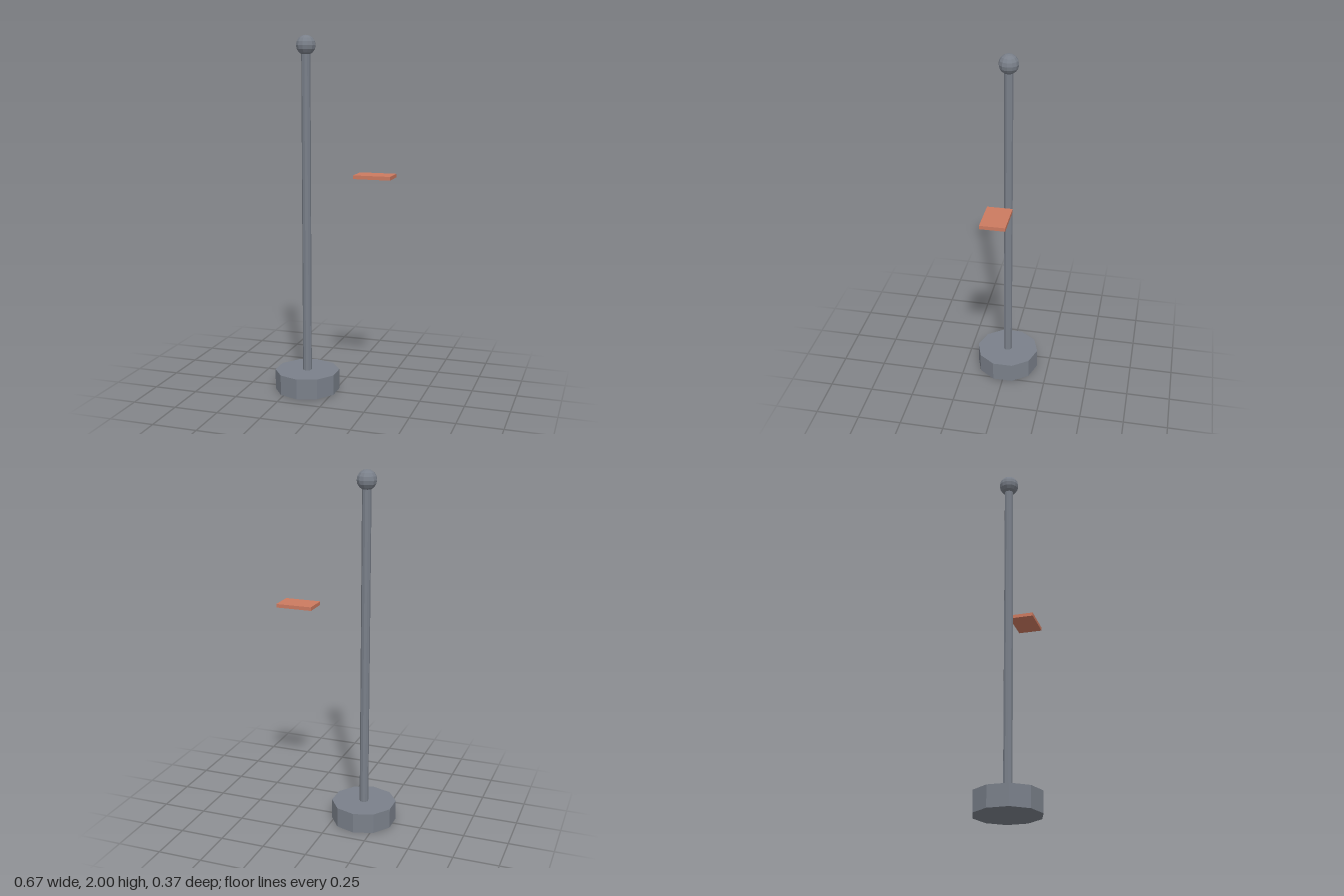
import * as THREE from 'three';

const POST_X = -0.16;

export function createModel() {
  const model = new THREE.Group();
  const metal = new THREE.MeshStandardMaterial({ color: 0x7a808a, flatShading: true });
  const orange = new THREE.MeshStandardMaterial({ color: 0xcc7a60, flatShading: true });

  const add = (name, geometry, material, x, y, z = 0) => {
    const mesh = new THREE.Mesh(geometry, material);
    mesh.name = name;
    mesh.position.set(x, y, z);
    model.add(mesh);
  };

  // Ten-sided foot
  add('base', new THREE.CylinderGeometry(0.183, 0.183, 0.115, 10), metal, POST_X, 0.0575);

  // Slim post running from the foot into the ball
  add('pole', new THREE.CylinderGeometry(0.025, 0.025, 1.94, 10), metal, POST_X, 0.97);

  // Faceted ball on top
  add('finial', new THREE.SphereGeometry(0.0545, 12, 8), metal, POST_X, 1.9455);

  // Flat plate floating beside the post
  add('plate', new THREE.BoxGeometry(0.205, 0.02, 0.137), orange, 0.2295, 1.246, -0.0085);

  return model;
}
